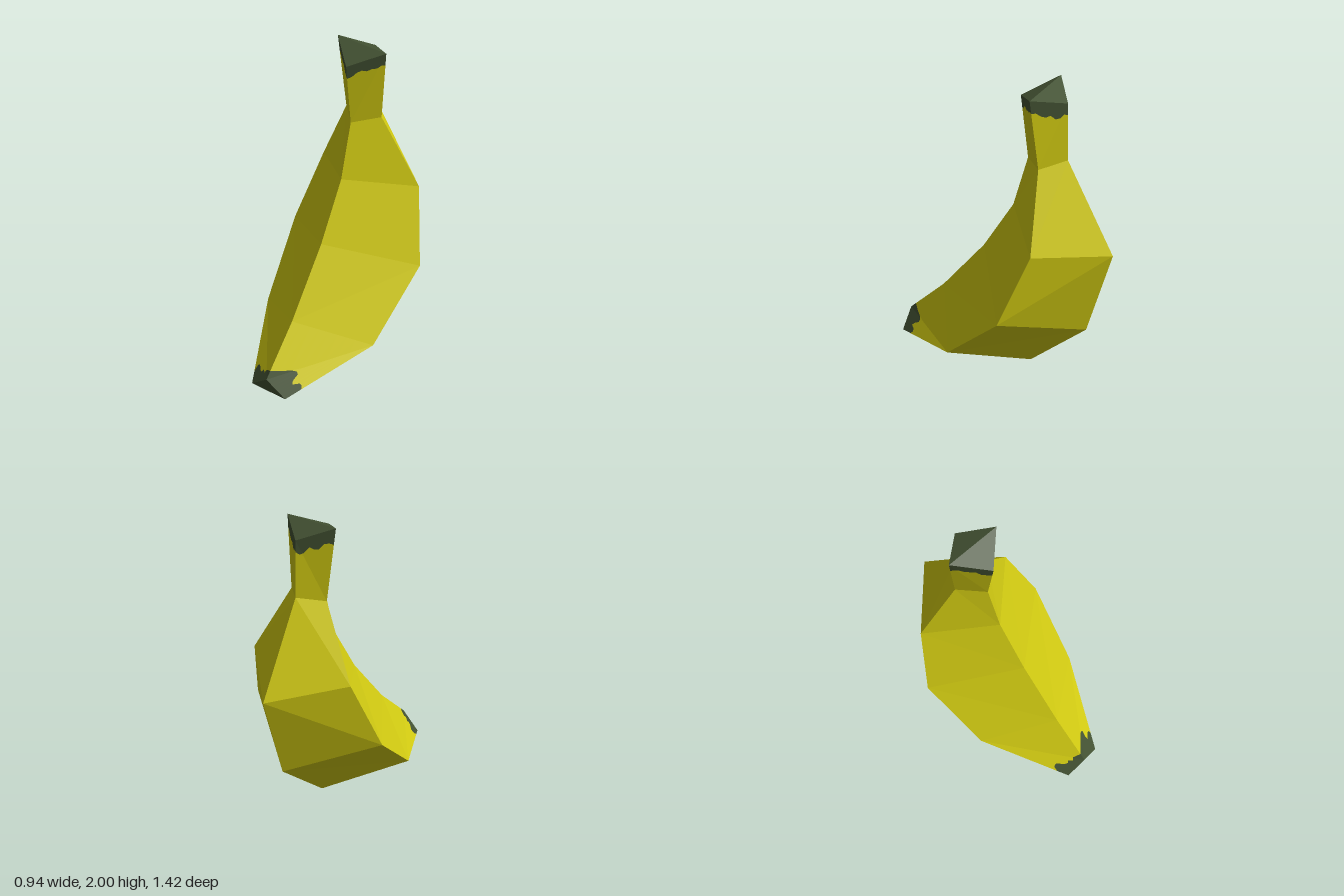
import * as THREE from 'three';

// Cross-sections from stem to blossom end: front [y, z], side [x, y, z], back [y, z]
const SECTIONS = [
  { f: [1.91, -0.10], s: [0.17, 1.98, -0.25], b: [1.93, -0.395] },
  { f: [1.53, -0.15], s: [0.125, 1.545, -0.285], b: [1.58, -0.405] },
  { f: [1.19, -0.055], s: [0.35, 1.11, -0.365], b: [1.04, -0.71] },
  { f: [0.84, 0.15], s: [0.47, 0.665, -0.215], b: [0.465, -0.56] },
  { f: [0.45, 0.45], s: [0.40, 0.275, 0.175], b: [0.095, -0.185] },
  { f: [0.18, 0.71], s: [0.125, 0.08, 0.695], b: [0.0, 0.60] },
];

// Ragged edge of the dark ends, as fractions of the end segment:
// [front face, back face] for the left half (1) and right half (-1)
const STEM_EDGE = {
  1: [[0.21, 0.2, 0.16, 0.15, 0.19, 0.18, 0.2, 0.17, 0.18],
    [0.18, 0.17, 0.21, 0.22, 0.19, 0.24, 0.22, 0.17, 0.2]],
  '-1': [[0.21, 0.23, 0.24, 0.17, 0.19, 0.21, 0.18, 0.2, 0.22],
    [0.22, 0.18, 0.17, 0.22, 0.2, 0.15, 0.21, 0.23, 0.2]],
};
const BLOSSOM_EDGE = {
  1: [[0.15, 0.19, 0.25, 0.27, 0.26, 0.18, 0.15, 0.21, 0.21, 0.18],
    [0.18, 0.22, 0.16, 0.15, 0.21, 0.19, 0.22, 0.18, 0.19]],
  '-1': [[0.15, 0.12, 0.09, 0.13, 0.11, 0.13, 0.2, 0.2, 0.18, 0.13],
    [0.13, 0.16, 0.2, 0.17, 0.13, 0.18, 0.22, 0.2, 0.19]],
};

// Front, side and back corner of a section on one half
function corners(i, side) {
  const { f, s, b } = SECTIONS[i];
  const lift = i === 0 && side < 0 ? 0.02 : 0; // the stem is cut slightly askew
  return [
    new THREE.Vector3(0, f[0], f[1]),
    new THREE.Vector3(side * s[0], s[1] + lift, s[2] - lift / 2),
    new THREE.Vector3(0, b[0], b[1]),
  ];
}

function addTriangle(out, p, q, r, flip = false) {
  const area = q.clone().sub(p).cross(r.clone().sub(p)).length();
  if (area < 1e-9) return;
  for (const v of flip ? [p, r, q] : [p, q, r]) out.push(v.x, v.y, v.z);
}

// Point on a quad folded along the diagonal a-c (u across, w up)
function foldedPoint([a, b, c, d], u, w) {
  const [uMid, wMid] = u >= w ? [b, c] : [c, d];
  return u >= w
    ? a.clone().addScaledVector(uMid.clone().sub(a), u).addScaledVector(wMid.clone().sub(b), w)
    : a.clone().addScaledVector(d.clone().sub(a), w).addScaledVector(uMid.clone().sub(wMid), u);
}

// Splits a folded quad along a ragged line into a lower and an upper part
function splitQuad(lower, upper, quad, edge, flip) {
  const n = edge.length - 1;
  const columns = edge.map((w, k) => {
    const u = k / n;
    return [0, Math.min(u, w), w, Math.max(u, w), 1].map((h) => foldedPoint(quad, u, h));
  });
  for (let k = 0; k < n; k++) {
    for (let r = 0; r < 4; r++) {
      const out = r < 2 ? lower : upper;
      const [p, q] = [columns[k], columns[k + 1]];
      addTriangle(out, p[r], q[r], q[r + 1], flip);
      addTriangle(out, p[r], q[r + 1], p[r + 1], flip);
    }
  }
}

function makeMesh(name, positions, material) {
  const geometry = new THREE.BufferGeometry();
  geometry.setAttribute('position', new THREE.Float32BufferAttribute(positions, 3));
  geometry.computeVertexNormals(); // unshared corners give flat facets
  const mesh = new THREE.Mesh(geometry, material);
  mesh.name = name;
  return mesh;
}

export function createModel() {
  const yellow = new THREE.MeshStandardMaterial({ color: 0xd2cb12 });
  yellow.name = 'peelYellow';
  const dark = new THREE.MeshStandardMaterial({ color: 0x435233 });
  dark.name = 'tipDarkGreen';

  const peel = [], stem = [], blossom = [];
  const last = SECTIONS.length - 1;

  // Peel facets, with the two end segments split into peel and dark tip
  for (const side of [1, -1]) {
    const flip = side < 0;
    for (let i = 0; i < last; i++) {
      const up = corners(i, side), low = corners(i + 1, side);
      for (let j = 0; j < 2; j++) {
        const quad = [low[j], low[j + 1], up[j + 1], up[j]];
        if (i === 0) {
          splitQuad(peel, stem, quad, STEM_EDGE[side][j].map((t) => 1 - t), flip);
        } else if (i === last - 1) {
          splitQuad(blossom, peel, quad, BLOSSOM_EDGE[side][j], flip);
        } else {
          addTriangle(peel, quad[0], quad[1], quad[2], flip);
          addTriangle(peel, quad[0], quad[2], quad[3], flip);
        }
      }
    }
  }

  // End caps, creased from side to side
  for (const [out, i, flip] of [[stem, 0, false], [blossom, last, true]]) {
    const [front, left, back] = corners(i, 1);
    const right = corners(i, -1)[1];
    addTriangle(out, front, left, right, flip);
    addTriangle(out, back, right, left, flip);
  }

  const group = new THREE.Group();
  group.name = 'banana';
  group.add(
    makeMesh('peel', peel, yellow),
    makeMesh('stemTip', stem, dark),
    makeMesh('blossomTip', blossom, dark),
  );
  return group;
}
